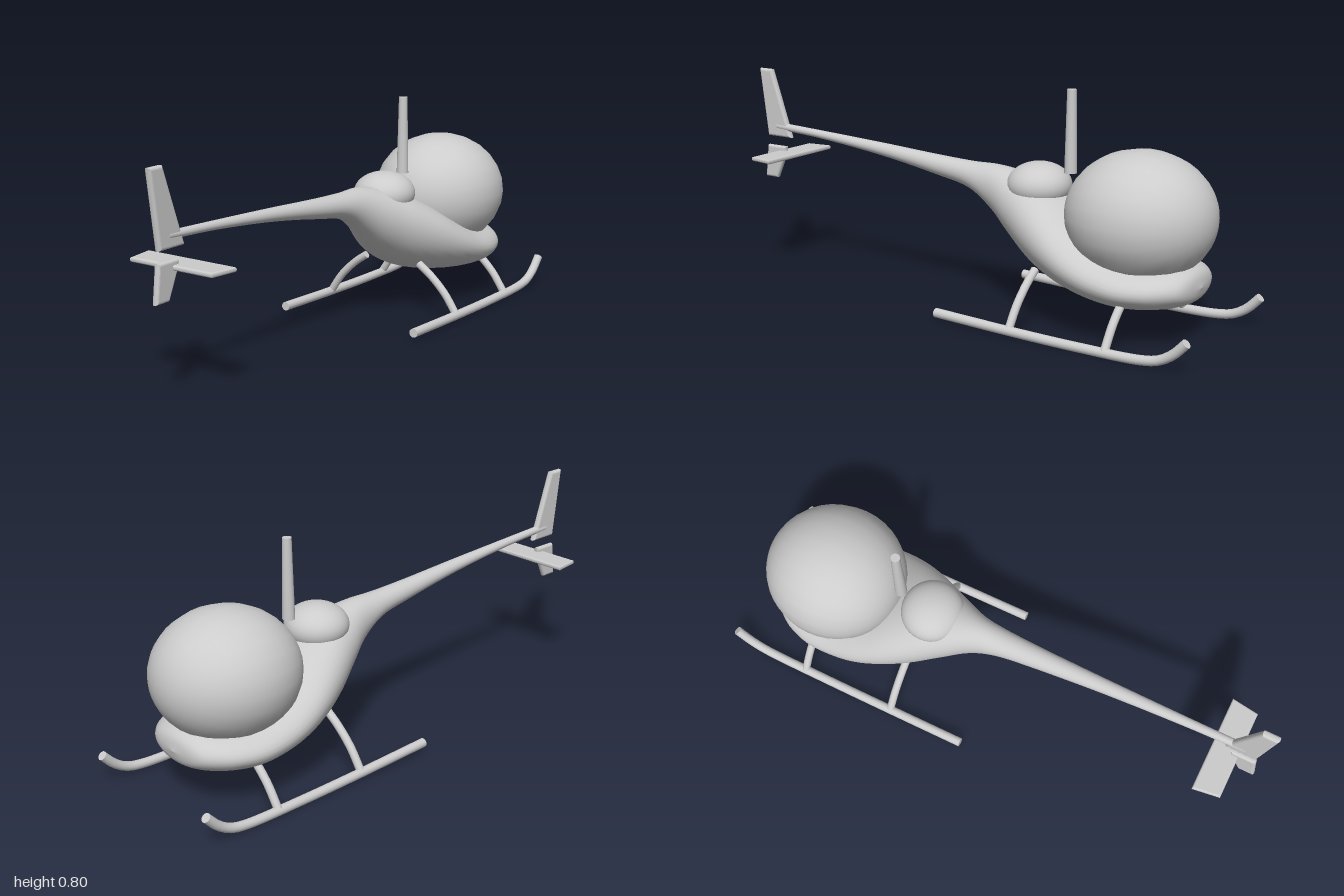
import * as THREE from 'three';

export function createModel() {
  const group = new THREE.Group();
  const grey = new THREE.MeshStandardMaterial({ color: 0xcccccc });
  grey.name = 'light grey';

  const add = (geometry, name, x = 0, y = 0, z = 0) => {
    const mesh = new THREE.Mesh(geometry, grey);
    mesh.name = name;
    mesh.position.set(x, y, z);
    group.add(mesh);
    return mesh;
  };

  // Fuselage and tail boom: elliptical sections [z, top, bottom, half width]
  const sections = [
    [0.92, 0.56, 0.532, 0.014], [0.7, 0.55, 0.519, 0.017], [0.4, 0.535, 0.487, 0.026],
    [0.15, 0.52, 0.447, 0.038], [0, 0.514, 0.415, 0.05], [-0.1, 0.515, 0.35, 0.07],
    [-0.2, 0.5, 0.268, 0.118], [-0.3, 0.475, 0.198, 0.17], [-0.4, 0.43, 0.155, 0.211],
    [-0.5, 0.37, 0.13, 0.235], [-0.6, 0.32, 0.115, 0.241], [-0.7, 0.29, 0.112, 0.235],
    [-0.79, 0.277, 0.122, 0.205], [-0.85, 0.268, 0.137, 0.16], [-0.885, 0.247, 0.157, 0.105],
    [-0.9, 0.2, 0.2, 0],
  ];
  const side = new THREE.CatmullRomCurve3(sections.map(([z, t, b]) => new THREE.Vector3(z, t, b)));
  const widths = new THREE.CatmullRomCurve3(
    sections.map((s) => new THREE.Vector3(s[3], 0, 0)), false, 'catmullrom');
  const rings = 75, around = 40, pos = [], index = [];
  for (let i = 0; i <= rings; i++) {
    const p = side.getPoint(i / rings);
    const w = widths.getPoint(i / rings).x;
    for (let j = 0; j < around; j++) {
      const a = (j / around) * Math.PI * 2;
      pos.push(w * Math.cos(a), (p.y + p.z) / 2 + ((p.y - p.z) / 2) * Math.sin(a), p.x);
      if (i === rings) continue;
      const k = i * around + j, n = i * around + ((j + 1) % around);
      index.push(k, k + around, n, n, k + around, n + around);
    }
  }
  const hull = new THREE.BufferGeometry();
  hull.setAttribute('position', new THREE.Float32BufferAttribute(pos, 3));
  hull.setIndex(index);
  hull.computeVertexNormals();
  add(hull, 'fuselage');
  add(new THREE.CircleGeometry(0.014, 20), 'boomEnd', 0, 0.546, 0.92);

  // Bubble canopy and engine dome
  add(new THREE.SphereGeometry(1, 24, 20).rotateX(Math.PI / 2).scale(0.248, 0.222, 0.258),
    'canopy', 0, 0.41, -0.672);
  add(new THREE.SphereGeometry(1, 32, 20).scale(0.115, 0.08, 0.113), 'engineDome', 0, 0.466, -0.277);

  // Rotor mast
  add(new THREE.CylinderGeometry(0.016, 0.022, 0.287, 24), 'rotorMast', 0, 0.6645, -0.4);

  // Tail surfaces: bevelled plates from an outline
  const plate = (points, thickness) => {
    const bevel = thickness * 0.4;
    const shape = new THREE.Shape(points.map(([u, v]) => new THREE.Vector2(u, v)));
    const geometry = new THREE.ExtrudeGeometry(shape, {
      depth: thickness - 2 * bevel, bevelEnabled: true, bevelThickness: bevel,
      bevelSize: bevel, bevelOffset: -bevel, bevelSegments: 4,
    });
    return geometry.translate(0, 0, bevel - thickness / 2);
  };
  // Fin outlines are drawn as [-z, y] and turned to face sideways
  add(plate([[-0.965, 0.505], [-0.85, 0.505], [-0.94, 0.767], [-1, 0.767]], 0.025)
    .rotateY(Math.PI / 2), 'upperFin');
  add(plate([[-0.985, 0.34], [-0.925, 0.34], [-0.88, 0.44], [-0.878, 0.468], [-0.97, 0.468]], 0.023)
    .rotateY(Math.PI / 2), 'lowerFin');
  add(plate([[-0.18, 0.81], [0.18, 0.81], [0.166, 0.91], [-0.166, 0.91]], 0.017)
    .rotateX(Math.PI / 2), 'stabilizer', 0, 0.443, 0);

  // Landing gear: capped tubes, mirrored left and right
  const tube = (points, radius, name) => {
    const curve = new THREE.CatmullRomCurve3(points.map((p) => new THREE.Vector3(...p)));
    add(new THREE.TubeGeometry(curve, 40, radius, 16), name);
    for (const t of [0, 1]) {
      const cap = add(new THREE.CircleGeometry(radius, 16), name + 'End');
      const facing = curve.getTangent(t).multiplyScalar(t ? 1 : -1);
      cap.position.copy(curve.getPoint(t));
      cap.quaternion.setFromUnitVectors(new THREE.Vector3(0, 0, 1), facing);
    }
  };
  for (const [s, label] of [[1, 'left'], [-1, 'right']]) {
    const x = 0.284 * s;
    tube([[x, 0.034, -0.037], [x, 0.024, -0.35], [x, 0.02, -0.6], [x, 0.023, -0.83],
      [x, 0.034, -0.89], [x, 0.062, -0.94], [x, 0.108, -0.986]], 0.0165, label + 'Skid');
    for (const [z, end] of [[-0.7, 'Front'], [-0.335, 'Rear']]) {
      tube([[0.118 * s, 0.197, z], [0.17 * s, 0.16, z], [0.232 * s, 0.1, z], [0.284 * s, 0.025, z]],
        0.0145, label + end + 'Strut');
    }
  }
  return group;
}
